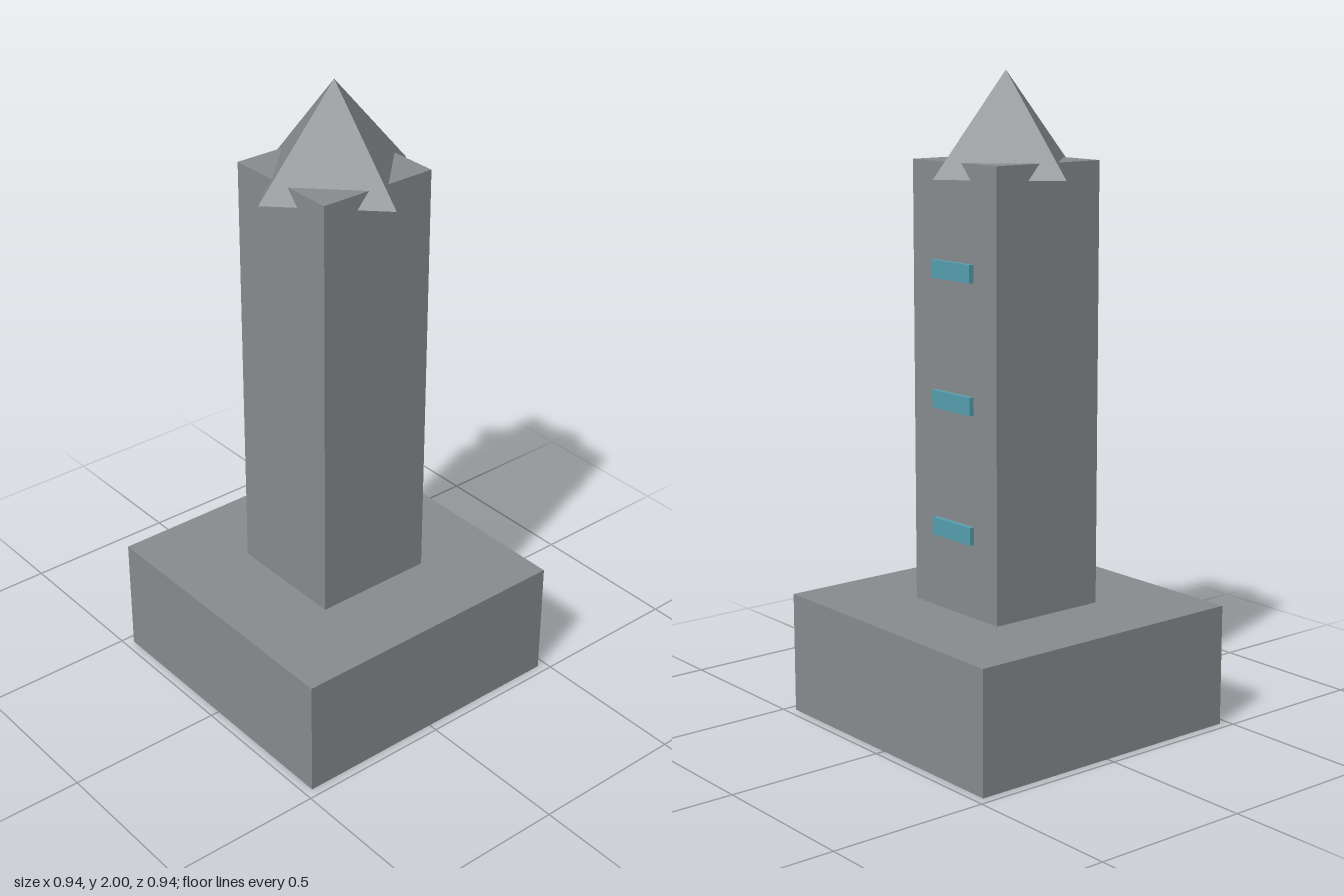
import * as THREE from 'three';

const stone = new THREE.MeshStandardMaterial({ name: 'stone grey', color: 0x888c8f });
const teal = new THREE.MeshStandardMaterial({ name: 'window teal', color: 0x55a0b0 });

export function createModel() {
  const model = new THREE.Group();
  model.name = 'tower';

  const add = (name, geometry, material, x, y, z) => {
    const mesh = new THREE.Mesh(geometry, material);
    mesh.name = name;
    mesh.position.set(x, y, z);
    model.add(mesh);
  };

  // Plinth and square shaft
  add('base', new THREE.BoxGeometry(0.943, 0.38, 0.943), stone, 0, 0.19, 0);
  add('shaft', new THREE.BoxGeometry(0.393, 1.357, 0.393), stone, 0, 1.0585, 0);

  // Four-sided roof, turned 45 degrees to the shaft so its corners overhang the walls
  const roof = new THREE.ConeGeometry(0.274, 0.31, 4).toNonIndexed();
  roof.computeVertexNormals();
  add('roof', roof, stone, 0, 1.845, 0);

  // Three window slats up the back wall
  [0.635, 1.028, 1.42].forEach((y, i) => {
    add(`window${i + 1}`, new THREE.BoxGeometry(0.18, 0.054, 0.032), teal, 0, y, -0.196);
  });

  return model;
}
